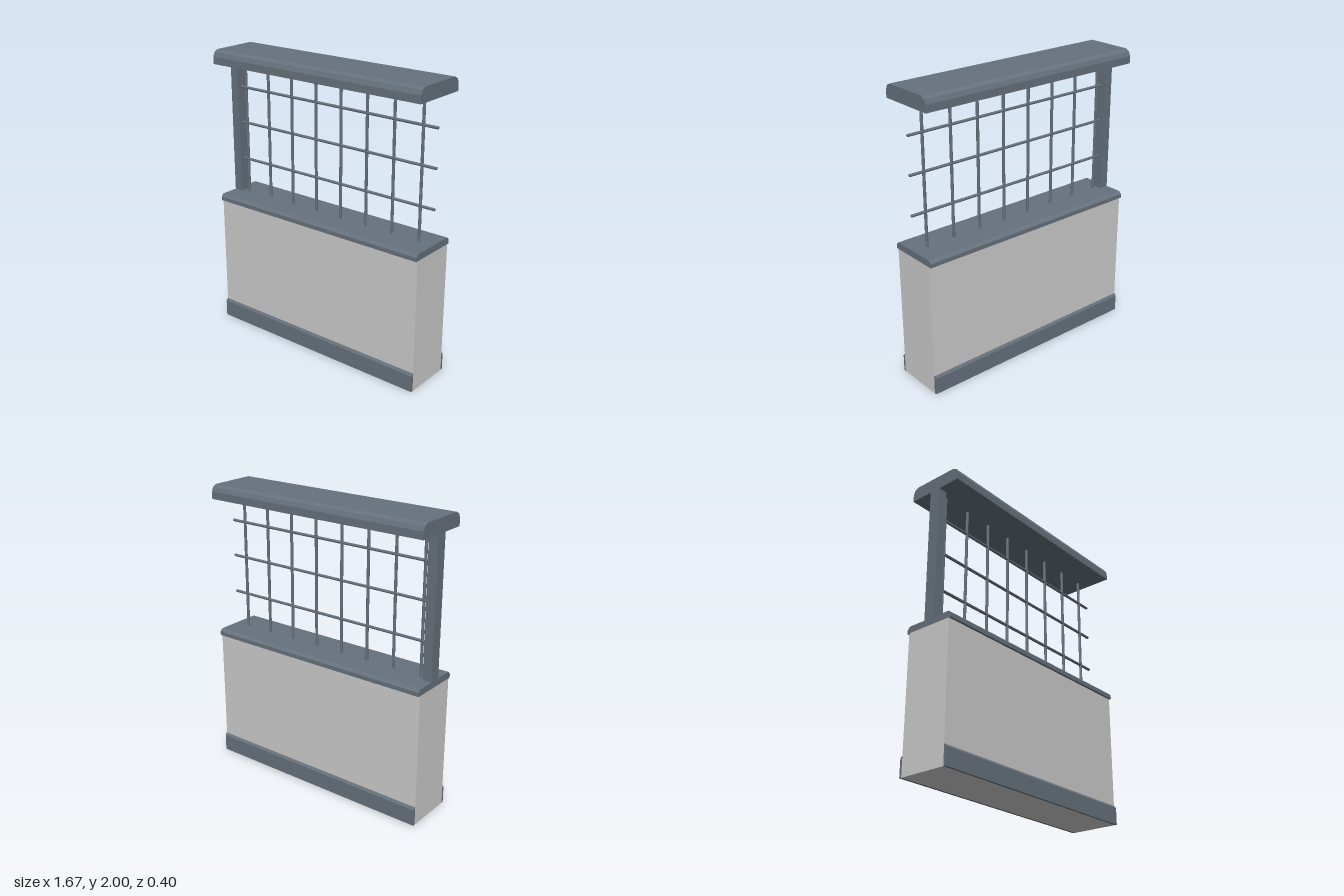
import * as THREE from 'three';

const HALF = 0.833; // half length of the wall segment

export function createModel() {
  const model = new THREE.Group();
  model.name = 'fencedWall';
  const plaster = new THREE.MeshStandardMaterial({ color: 0xcccccc, flatShading: true });
  const slate = new THREE.MeshStandardMaterial({ color: 0x66717c, flatShading: true });

  function add(name, geometry, material, x = 0, y = 0, z = 0) {
    const mesh = new THREE.Mesh(geometry, material);
    mesh.name = name;
    mesh.position.set(x, y, z);
    model.add(mesh);
    return mesh;
  }

  // Profile of [z, y] points swept along the full length in x
  function sweep(name, points) {
    const shape = new THREE.Shape(points.map(([z, y]) => new THREE.Vector2(-z, y)));
    const geometry = new THREE.ExtrudeGeometry(shape, { depth: 2 * HALF, bevelEnabled: false });
    geometry.rotateY(Math.PI / 2).translate(-HALF, 0, 0);
    return add(name, geometry, slate);
  }

  // Closes a half profile by mirroring it in z
  const mirrored = (half) => [...half, ...half.map(([z, y]) => [-z, y]).reverse()];

  // Wall body
  add('wall', new THREE.BoxGeometry(2 * HALF, 0.92, 0.334), plaster, 0, 0.46, 0);

  // Skirting with a chamfered top edge on both faces
  for (const [name, s] of [['frontSkirting', 1], ['backSkirting', -1]]) {
    sweep(name, [[0.167, 0], [0.183, 0], [0.183, 0.115], [0.173, 0.13], [0.167, 0.13]].map(([z, y]) => [s * z, y]));
  }

  // Coping on the wall and the heavier top beam
  sweep('coping', mirrored([[0.183, 0.92], [0.183, 0.948], [0.165, 0.966]]));
  sweep('topBeam', mirrored([[0.2, 1.905], [0.2, 1.955], [0.187, 1.985], [0.16, 2]]));

  // Post at the right end
  add('post', new THREE.BoxGeometry(0.064, 0.939, 0.08), slate, -HALF + 0.032, 1.4355, 0);

  // Upright bars
  const upright = new THREE.CylinderGeometry(0.01, 0.01, 0.93, 8);
  for (let i = 0; i < 8; i++) {
    add('uprightBar', upright, slate, -0.731 + i * 0.2085, 1.43, 0);
  }

  // Cross bars
  const crossLength = 2 * HALF - 0.064;
  const cross = new THREE.CylinderGeometry(0.01, 0.01, crossLength, 8).rotateZ(Math.PI / 2);
  for (const y of [1.205, 1.47, 1.722]) {
    add('crossBar', cross, slate, 0.032, y, 0);
  }

  return model;
}
